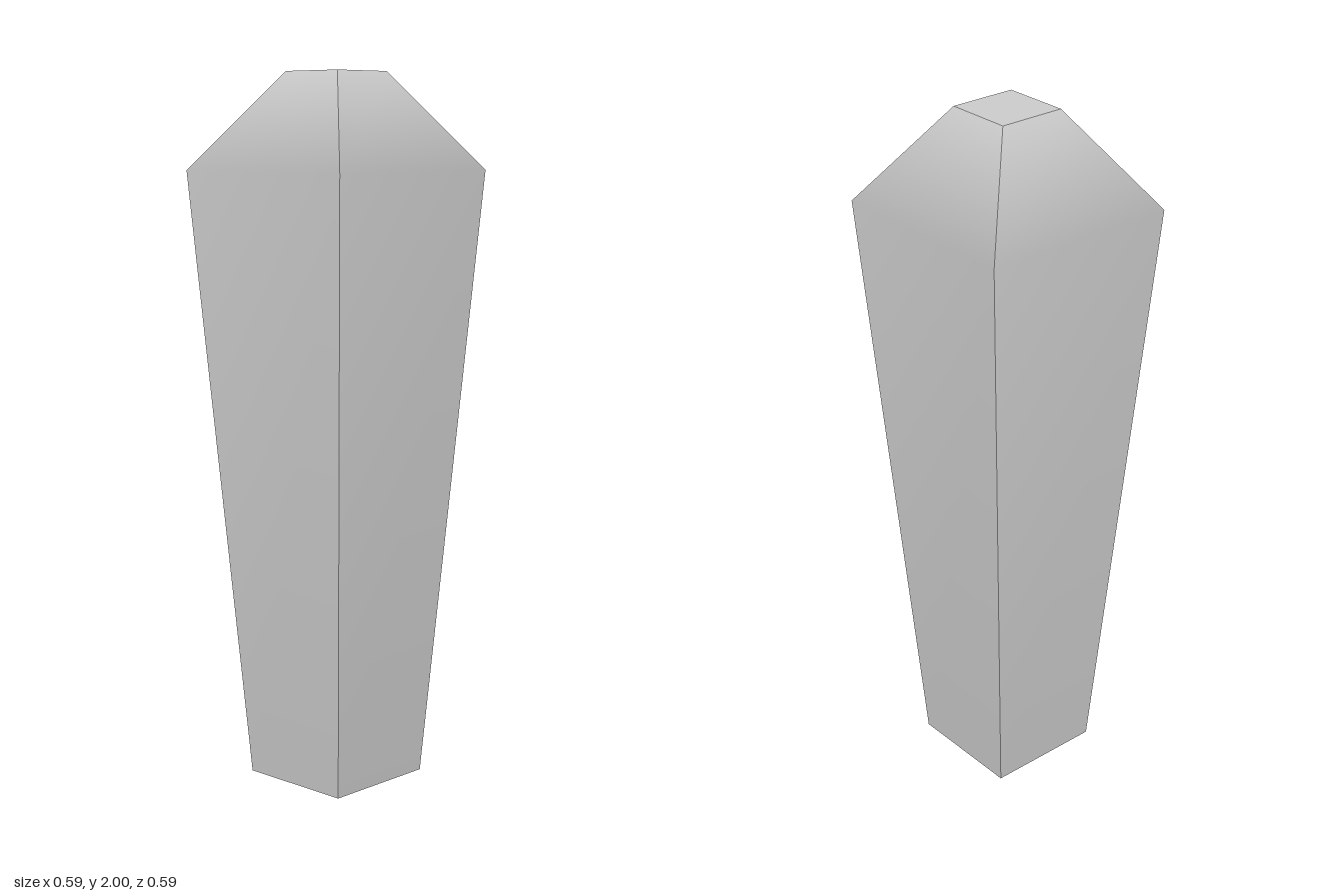
import * as THREE from 'three';

// Half width and height of the square section, from the tip down to the open foot
const PROFILE = [[0.098, 2], [0.293, 1.73], [0.172, 0]];

// One side: a tapering wall blending smoothly into its sloping shoulder
function sideGeometry() {
  const geometry = new THREE.PlaneGeometry(1, 1, 1, PROFILE.length - 1);
  const position = geometry.attributes.position;
  for (let i = 0; i < position.count; i++) {
    const [half, y] = PROFILE[Math.floor(i / 2)];
    position.setXYZ(i, i % 2 ? half : -half, y, half);
  }
  geometry.computeVertexNormals();
  return geometry;
}

export function createModel() {
  const model = new THREE.Group();
  model.name = 'taperedPost';
  const material = new THREE.MeshStandardMaterial({ color: 0xcccccc, side: THREE.DoubleSide });

  // Four identical sides, hard edges between them
  const side = sideGeometry();
  ['frontSide', 'leftSide', 'backSide', 'rightSide'].forEach((name, i) => {
    const mesh = new THREE.Mesh(side, material);
    mesh.name = name;
    mesh.rotation.y = i * Math.PI / 2;
    model.add(mesh);
  });

  // Flat square tip; the foot stays open
  const [tipHalf, tipY] = PROFILE[0];
  const tip = new THREE.Mesh(new THREE.PlaneGeometry(tipHalf * 2, tipHalf * 2), material);
  tip.name = 'flatTip';
  tip.rotation.x = -Math.PI / 2;
  tip.position.y = tipY;
  model.add(tip);

  return model;
}
